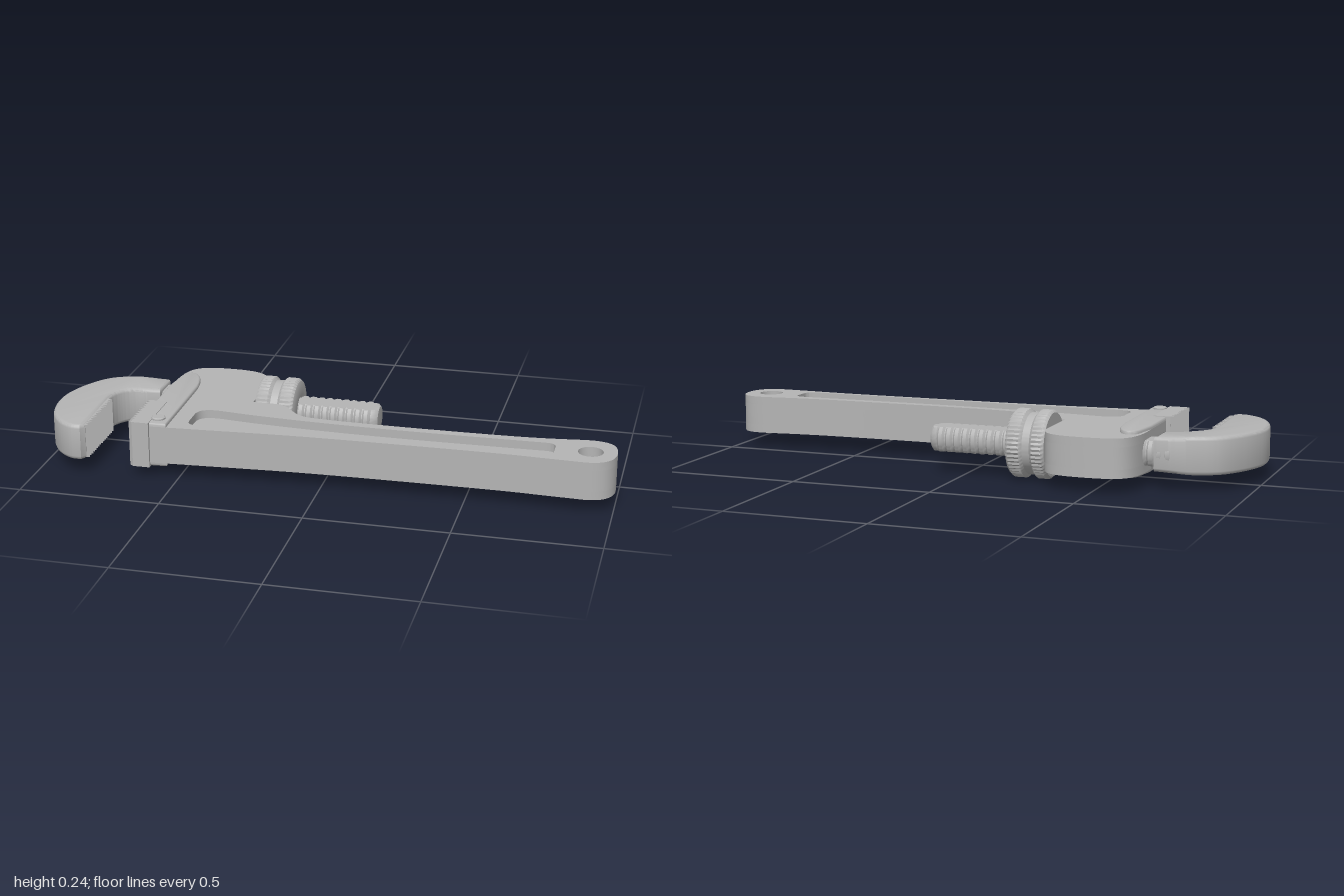
import * as THREE from 'three';
import { toCreasedNormals } from 'three/addons/utils/BufferGeometryUtils.js';

const MID = 0.1225; // height of the tool's centre plane
const SHANK_Z = -0.14; // z of the screw axis

const v = (pts) => pts.map(([x, z]) => new THREE.Vector2(x, z));

// Extrudes an (x, z) outline vertically between y0 and y1
function slab(shape, y0, y1, bevel = 0) {
  const g = new THREE.ExtrudeGeometry(shape, {
    depth: y1 - y0 - 2 * bevel, curveSegments: 12, bevelEnabled: bevel > 0,
    bevelThickness: bevel, bevelSize: bevel, bevelOffset: -bevel, bevelSegments: 3,
  });
  g.rotateX(Math.PI / 2);
  g.translate(0, y1 - bevel, 0);
  return g;
}

// Lathe turned onto the x axis, from [radius, x] points
function lathe(profile, segments) {
  return new THREE.LatheGeometry(v(profile), segments).rotateZ(-Math.PI / 2);
}

// Strip of pointed teeth between z0 and z1; dir is the side the points face
function toothShape(root, back, z0, z1, count, height, dir) {
  const s = new THREE.Shape().moveTo(back, z0);
  const step = (z1 - z0) / count;
  for (let i = 0; i < count; i++) {
    s.lineTo(root, z0 + i * step);
    s.lineTo(root + dir * height, z0 + (i + 0.5) * step);
  }
  return s.lineTo(root, z1).lineTo(back, z1);
}

export function createModel() {
  const model = new THREE.Group();
  const steel = new THREE.MeshStandardMaterial({ color: 0xb4b4b4 });
  steel.name = 'grey steel';
  const add = (name, geometry, crease = 0.6) => {
    const mesh = new THREE.Mesh(toCreasedNormals(geometry, crease), steel);
    mesh.name = name;
    model.add(mesh);
  };

  // Handle and housing outline with hanging hole (holes wind against the outline)
  const bodyShape = () => {
    const s = new THREE.Shape().moveTo(-0.645, 0.288);
    s.splineThru(v([[-0.4, 0.272], [-0.1, 0.253], [0.2, 0.245], [0.6, 0.241], [0.78, 0.246], [0.9, 0.25]]));
    s.bezierCurveTo(0.97, 0.25, 1, 0.21, 1, 0.155);
    s.bezierCurveTo(1, 0.08, 0.97, 0.048, 0.88, 0.056);
    s.splineThru(v([[0.75, 0.072], [0.6, 0.081], [0.3, 0.086], [0.05, 0.084], [-0.07, 0.078]]));
    s.bezierCurveTo(-0.16, 0.07, -0.16, -0.015, -0.22, -0.022);
    s.lineTo(-0.312, -0.022);
    s.lineTo(-0.312, -0.22);
    s.bezierCurveTo(-0.32, -0.3, -0.36, -0.33, -0.47, -0.33);
    s.bezierCurveTo(-0.6, -0.33, -0.635, -0.31, -0.645, -0.18);
    s.holes.push(new THREE.Path().absarc(0.91, 0.155, 0.043, 0, Math.PI * 2, false));
    return s;
  };
  // Long panel recess in both faces of the handle
  const recess = new THREE.Path().moveTo(-0.48, 0.2);
  recess.bezierCurveTo(-0.48, 0.235, -0.46, 0.24, -0.41, 0.238);
  recess.lineTo(0, 0.224);
  recess.lineTo(0.75, 0.22);
  recess.quadraticCurveTo(0.79, 0.22, 0.79, 0.19);
  recess.lineTo(0.79, 0.14);
  recess.quadraticCurveTo(0.79, 0.11, 0.75, 0.111);
  recess.splineThru(v([[0.3, 0.119], [0, 0.116], [-0.25, 0.103], [-0.4, 0.088]]));
  recess.quadraticCurveTo(-0.48, 0.08, -0.48, 0.14);
  const faceShape = bodyShape();
  faceShape.holes.push(new THREE.Path(recess.getPoints().reverse()));
  add('handleCore', slab(bodyShape(), 0.085, 0.16));
  add('handleTopFace', slab(faceShape, 0.16, 0.19));
  add('handleBottomFace', slab(faceShape, 0.055, 0.085));

  // Raised ribs and rivet heads on both faces of the housing
  const rib = new THREE.Shape().moveTo(-0.645, 0.288);
  rib.lineTo(-0.54, 0.281);
  rib.lineTo(-0.543, -0.1);
  rib.bezierCurveTo(-0.555, -0.25, -0.615, -0.25, -0.63, -0.2);
  rib.lineTo(-0.645, -0.1);
  add('housingRibs', slab(rib, 0.042, 0.203, 0.008));
  const rivet = [[0, -0.089], [0.02, -0.089], [0.024, -0.086], [0.024, 0.086], [0.02, 0.089], [0, 0.089]];
  const pin = new THREE.LatheGeometry(v(rivet), 24);
  pin.translate(-0.58, MID, 0.237);
  add('rivet', pin);

  // Fixed heel jaw with teeth
  const heel = new THREE.BoxGeometry(0.06, 0.165, 0.215);
  heel.translate(-0.63, MID, 0.1875);
  add('heelJaw', heel);
  add('heelTeeth', slab(toothShape(-0.659, -0.64, 0.08, 0.295, 12, 0.014, -1), 0.04, 0.205), 0.3);

  // Hook jaw, narrowing slightly toward the screw
  const hook = new THREE.Shape().moveTo(-0.68, -0.2);
  hook.splineThru(v([[-0.7, -0.201], [-0.75, -0.198], [-0.82, -0.185], [-0.9, -0.145], [-0.96, -0.06],
    [-0.995, 0.04], [-0.997, 0.13], [-0.975, 0.22], [-0.93, 0.29], [-0.88, 0.325], [-0.838, 0.328]]));
  hook.lineTo(-0.825, 0.31);
  hook.lineTo(-0.832, 0.05);
  hook.splineThru(v([[-0.825, 0], [-0.8, -0.04], [-0.76, -0.064], [-0.7, -0.074], [-0.68, -0.077]]));
  const hookGeo = slab(hook, 0.057, 0.188, 0.014);
  const hp = hookGeo.attributes.position;
  for (let i = 0; i < hp.count; i++) {
    const t = THREE.MathUtils.smoothstep(hp.getX(i), -0.82, -0.69);
    hp.setY(i, MID + (hp.getY(i) - MID) * (1 - 0.1 * t));
  }
  add('hookJaw', hookGeo);
  add('hookTeeth', slab(toothShape(-0.83, -0.87, 0.05, 0.31, 16, 0.015, 1), 0.062, 0.183), 0.3);

  // Threaded shank with flattened top and bottom
  const thread = [[0, -0.74]];
  for (let x = -0.74; x < 0.09; x += 0.03) {
    thread.push([0.055, x], [0.062, x + 0.007], [0.062, x + 0.02], [0.055, x + 0.027]);
  }
  thread.push([0.058, 0.1], [0.054, 0.115], [0.043, 0.125], [0, 0.127]);
  const shank = lathe(thread, 48);
  const sp = shank.attributes.position;
  for (let i = 0; i < sp.count; i++) sp.setY(i, THREE.MathUtils.clamp(sp.getY(i), -0.043, 0.043));
  shank.translate(0, MID, SHANK_Z);
  add('threadedShank', shank);

  // Knurled adjusting nut: alternate rim points are pulled inward
  const nutProfile = [[0.05, -0.312], [0.11, -0.312], [0.119, -0.302], [0.119, -0.268], [0.107, -0.258],
    [0.107, -0.232], [0.119, -0.222], [0.119, -0.184], [0.11, -0.174], [0.065, -0.166], [0.05, -0.172]];
  const nut = lathe(nutProfile, 96);
  const np = nut.attributes.position;
  for (let i = 0; i < np.count; i++) {
    const y = np.getY(i), z = np.getZ(i);
    const odd = Math.floor(i / nutProfile.length) % 2;
    if (odd && Math.hypot(y, z) > 0.115) np.setXYZ(i, np.getX(i), y * 0.972, z * 0.972);
  }
  nut.translate(0, MID, SHANK_Z);
  add('adjustingNut', nut, 0.7);

  return model;
}
